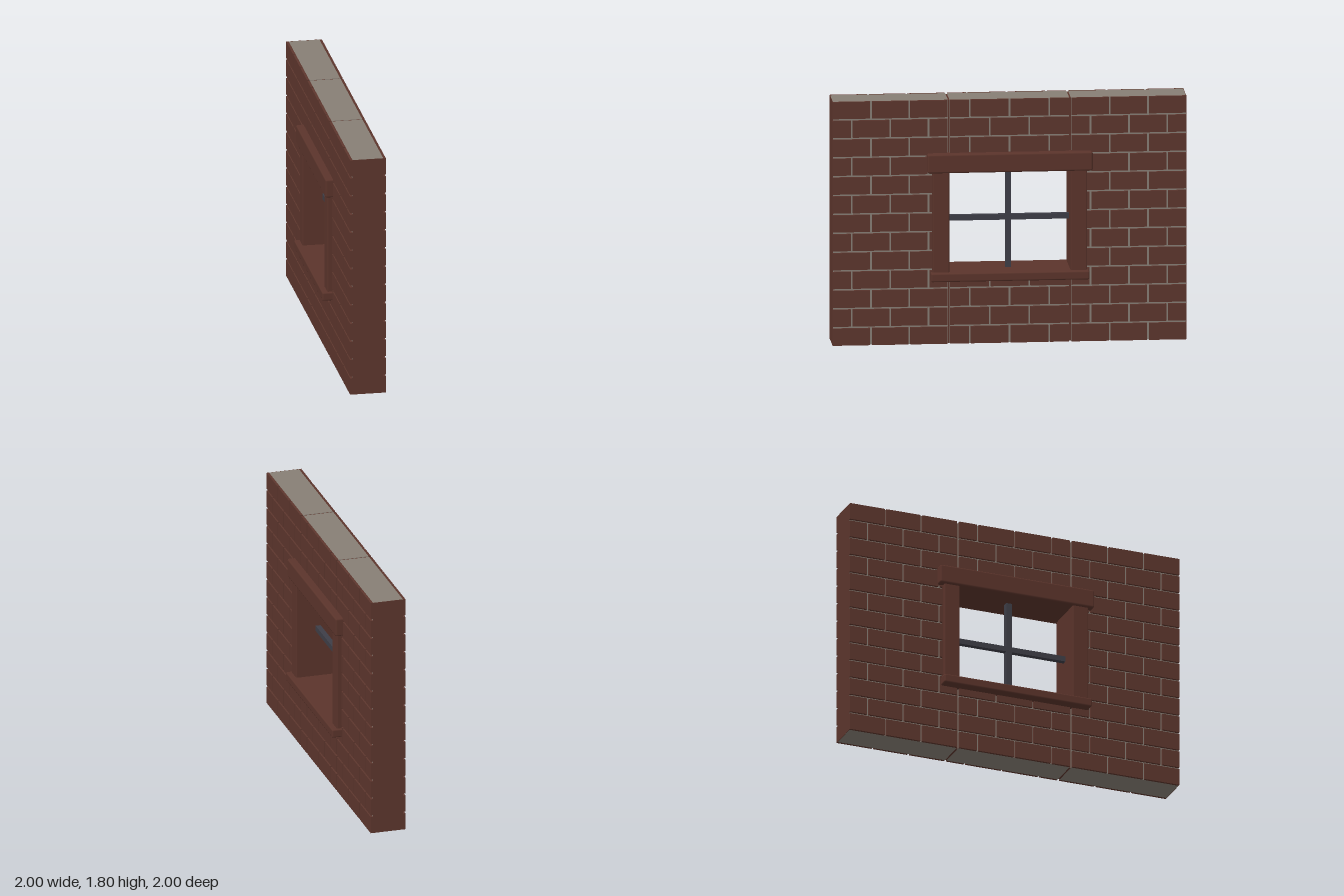
import * as THREE from 'three';
import { RoundedBoxGeometry } from 'three/addons/geometries/RoundedBoxGeometry.js';

const mat = (name, color) => {
  const m = new THREE.MeshStandardMaterial({ color });
  m.name = name;
  return m;
};

export function createModel() {
  const brick = mat('brick brown', 0x5d362d);
  const mortar = mat('mortar grey', 0x877e75);
  const trim = mat('frame brown', 0x5b342b);
  const iron = mat('bar grey', 0x3e3e47);

  const HALF = 1.283, OPEN = 0.44, HEIGHT = 1.8; // along the wall, window half width, height
  const FACE = 0.131, CORE = 0.113;              // half depths of bricks and mortar
  const ROWS = 13, GAP = 0.014, PITCH = (HEIGHT + GAP) / ROWS;

  const model = new THREE.Group();
  model.name = 'windowWall';
  const wall = new THREE.Group();
  wall.name = 'wall';
  wall.rotation.y = -Math.PI / 4; // wall runs diagonally
  model.add(wall);

  // Box from its limits, with an optional bevel
  const box = (name, material, x0, x1, y0, y1, z0, z1, bevel = 0) => {
    const w = x1 - x0, h = y1 - y0, d = z1 - z0;
    const geo = bevel ? new RoundedBoxGeometry(w, h, d, 1, bevel) : new THREE.BoxGeometry(w, h, d);
    const mesh = new THREE.Mesh(geo, material);
    mesh.name = name;
    mesh.position.set((x0 + x1) / 2, (y0 + y1) / 2, (z0 + z1) / 2);
    wall.add(mesh);
  };

  // Mortar core: two side panels, and panels below and above the window
  const SEAM = 0.006, LOW = 0.51, HIGH = 1.3;
  box('leftCore', mortar, OPEN + SEAM, HALF - 0.003, 0, HEIGHT, -CORE, CORE);
  box('rightCore', mortar, -HALF + 0.003, -OPEN - SEAM, 0, HEIGHT, -CORE, CORE);
  box('lowerCore', mortar, -OPEN + SEAM, OPEN - SEAM, 0, LOW, -CORE, CORE);
  box('upperCore', mortar, -OPEN + SEAM, OPEN - SEAM, HIGH, HEIGHT, -CORE, CORE);
  // Dark strips that close the seams
  for (const s of [-1, 1]) {
    box('lowerSeam', brick, s * OPEN - SEAM, s * OPEN + SEAM, 0, LOW, -CORE + 0.01, CORE - 0.01);
    box('upperSeam', brick, s * OPEN - SEAM, s * OPEN + SEAM, HIGH, HEIGHT - 0.003, -CORE + 0.01, CORE - 0.01);
  }
  // Brick ends of the wall
  box('leftEnd', brick, HALF - 0.003, HALF, 0, HEIGHT, -CORE, CORE);
  box('rightEnd', brick, -HALF, -HALF + 0.003, 0, HEIGHT, -CORE, CORE);

  // One course of three bricks, or two bricks between half bricks, on both faces
  const course = (x0, x1, y0, y1, halves) => {
    const len = (x1 - x0) / 3;
    const cuts = halves
      ? [x0, x0 + len / 2, x0 + len * 1.5, x0 + len * 2.5, x1]
      : [x0, x0 + len, x0 + 2 * len, x1];
    for (let i = 0; i < cuts.length - 1; i++) {
      const a = cuts[i] + (i > 0 ? GAP / 2 : 0);
      const b = cuts[i + 1] - (i < cuts.length - 2 ? GAP / 2 : 0);
      box('frontBrick', brick, a, b, y0, y1, CORE, FACE);
      box('backBrick', brick, a, b, y0, y1, -FACE, -CORE);
    }
  };
  for (let r = 0; r < ROWS; r++) {
    const y0 = r * PITCH, y1 = y0 + PITCH - GAP, odd = r % 2 === 1;
    course(-HALF, -OPEN - 0.009, y0, y1, odd);
    course(OPEN + 0.009, HALF, y0, y1, odd);
    if (y0 < LOW) course(-OPEN + 0.009, OPEN - 0.009, y0, Math.min(y1, LOW), !odd);
    else if (y1 > HIGH) course(-OPEN + 0.009, OPEN - 0.009, Math.max(y0, HIGH), y1, !odd);
  }

  // Window surround
  box('leftPost', trim, OPEN, 0.56, 0.5, 1.3, -0.165, 0.165, 0.008);
  box('rightPost', trim, -0.56, -OPEN, 0.5, 1.3, -0.165, 0.165, 0.008);
  box('lintel', trim, -0.6, 0.6, 1.27, 1.41, -0.187, 0.187, 0.014);
  box('sill', trim, -0.575, 0.575, 0.47, 0.535, -0.205, 0.205, 0.012);

  // Window bars
  box('uprightBar', iron, -0.021, 0.021, 0.52, 1.29, -0.021, 0.021);
  box('crossBar', iron, -0.45, 0.45, 0.885, 0.925, -0.019, 0.019);

  return model;
}
